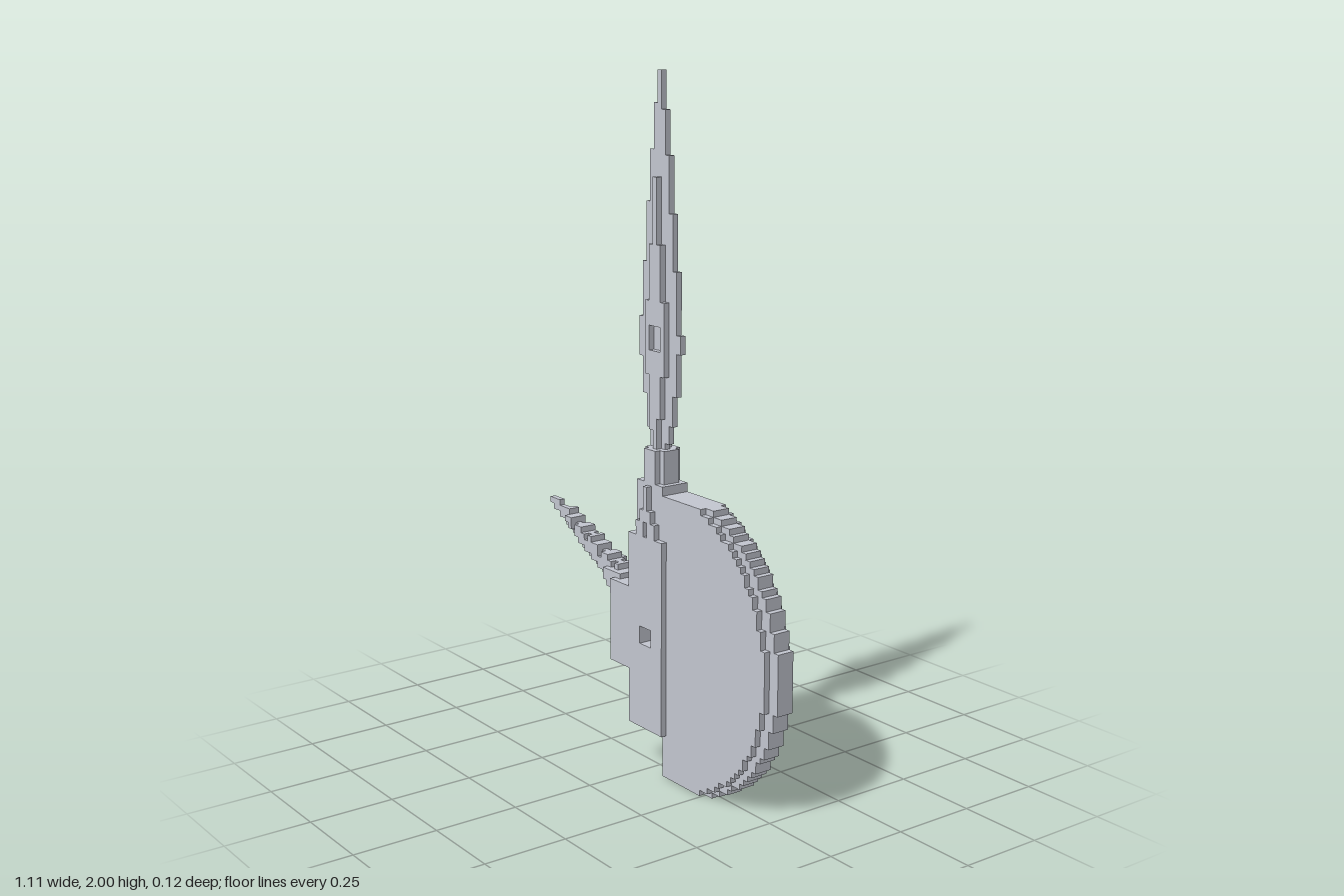
import * as THREE from 'three';
import { mergeGeometries } from 'three/addons/utils/BufferGeometryUtils.js';

const V = 2 / 115; // size of one block

export function createModel() {
  const model = new THREE.Group();
  const grey = new THREE.MeshStandardMaterial({ color: 0xc5c8d2 });
  grey.name = 'light steel grey';

  // Box given in block units, centred in depth unless shifted
  const box = (x0, x1, y0, y1, depth, z = 0) =>
    new THREE.BoxGeometry((x1 - x0) * V, (y1 - y0) * V, depth * V)
      .translate((x0 + x1) / 2 * V, (y0 + y1) / 2 * V, z * V);
  const add = (name, geometry) => {
    const mesh = new THREE.Mesh(geometry, grey);
    mesh.name = name;
    model.add(mesh);
  };
  const addBoxes = (name, list) => add(name, mergeGeometries(list.map(b => box(...b))));
  const slab = (points, depth, hole) => {
    const toVectors = list => list.map(([x, y]) => new THREE.Vector2(x * V, y * V));
    const shape = new THREE.Shape(toVectors(points));
    if (hole) shape.holes.push(new THREE.Path(toVectors(hole)));
    return new THREE.ExtrudeGeometry(shape, { depth: depth * V, bevelEnabled: false })
      .translate(0, 0, -depth * V / 2);
  };

  // Thin blade: one column per block of width, [column, bottom, top]
  const edge = [
    [-5, 69.5, 76], [-4, 63.5, 85], [-3, 58, 94.6], [-2, 48, 102.8], [-1, 48, 110], [0, 48, 115],
    [1, 48, 109], [2, 56, 102], [3, 59, 93], [4, 64, 84], [5, 71, 74],
  ];
  addBoxes('bladeEdge', edge.map(([x, y0, y1]) => [x, x + 1, y0, y1, 1]));

  // Thicker middle of the blade, with a square recess on both faces
  addBoxes('bladeCore', [
    [-2, -1, 67, 79, 3], [2, 3, 67, 79, 3],
    [-1, 0, 75, 88, 3], [0, 1, 75, 98.6, 3], [1, 2, 75, 88, 3],
    [-1, 0, 58, 71, 3], [0, 1, 48, 71, 3], [1, 2, 60, 71, 3],
  ]);

  // Stepped neck between blade and hub, with a small arch on each face
  addBoxes('neck', [
    [-2, 3, 40, 55, 3], [-1, 2, 40, 55, 5], [-3, 4, 40, 49.5, 5],
    [0, 1, 43, 49, 7], [-1, 0, 40, 45, 7], [1, 2, 40, 45, 7],
    [-2, -1, 40, 43, 7], [2, 3, 40, 43, 7],
  ]);

  // Hub with a small square through hole
  add('hub', slab(
    [[-4.1, 7.4], [5, 7.4], [5, 40.5], [-4.1, 40.5], [-4.1, 31.1], [-9.4, 31.1], [-9.4, 16.8], [-4.1, 16.8]],
    7, [[-1, 22], [-1, 25], [2, 25], [2, 22]]));
  add('holeStop', box(1, 2, 22, 23, 5));

  // Half disc with stepped outline; the narrower rim reaches further out
  const halfDisc = (centre, depth) => {
    const points = [[4, 0]];
    for (let row = 0; row < 48; row++) {
      const dy = row + 0.5 - 24;
      const x = Math.round(centre + Math.sqrt(25.25 ** 2 - dy * dy));
      points.push([x, row], [x, row + 1]);
    }
    points.push([4, 48]);
    return slab(points, depth);
  };
  add('discRim', halfDisc(6.67, 3));
  add('discBody', halfDisc(4.67, 5));

  // Side spike: stepped columns that thicken towards the hub, the back slightly earlier
  const spike = [];
  for (let x = -32; x < -8; x++) {
    const t = (x + 32) / 23;
    const top = Math.round(40.4 - 8.5 * t);
    const bottom = Math.round(38.7 - 12 * t);
    const inset = x < -12 ? 1 : 0;
    spike.push([x, x + 1, bottom, top, 1]);
    if (x >= -28) spike.push([x, x + 1, bottom + inset, top - (x % 4 ? 0 : 1), x < -26 ? 2 : 3, x < -26 ? -0.5 : 0]);
    if (x >= -15) spike.push([x, x + 1, bottom + 1, top - 1, x < -13 ? 4 : 5, x < -13 ? -0.5 : 0]);
  }
  spike.push([-11.5, -8, 29, 32, 5]);
  addBoxes('sideSpike', spike);

  return model;
}
